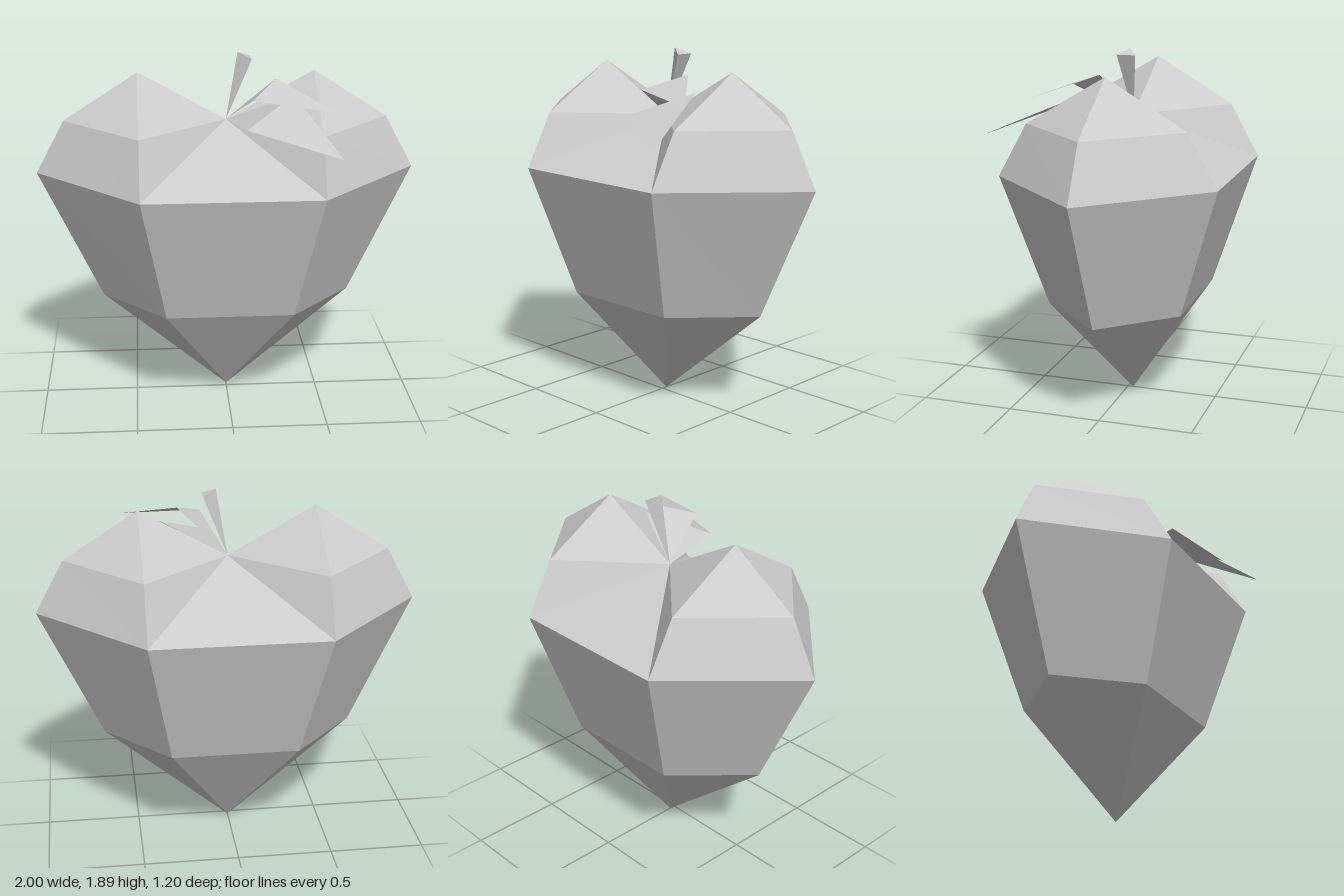
import * as THREE from 'three';

const grey = new THREE.MeshStandardMaterial({ color: 0xcccccc, side: THREE.DoubleSide });
grey.name = 'light grey';

// Faceted mesh from convex faces given as lists of corners
function facets(name, faces) {
  const out = [];
  for (const f of faces) {
    for (let i = 1; i < f.length - 1; i++) out.push(...f[0], ...f[i], ...f[i + 1]);
  }
  const geo = new THREE.BufferGeometry();
  geo.setAttribute('position', new THREE.Float32BufferAttribute(out, 3));
  geo.computeVertexNormals();
  const mesh = new THREE.Mesh(geo, grey);
  mesh.name = name;
  return mesh;
}

// Repeat a quarter of faces over all four x/z quadrants
function fourfold(faces) {
  const all = [];
  for (const sx of [1, -1]) for (const sz of [1, -1]) {
    for (const f of faces) {
      const g = f.map(([x, y, z]) => [x * sx, y, z * sz]);
      all.push(sx * sz < 0 ? g.reverse() : g);
    }
  }
  return all;
}

export function createModel() {
  const group = new THREE.Group();
  group.name = 'heartFruit';
  const axisZ = -0.03;

  // Corners of one quarter of the fruit
  const dip = [0, 1.535, 0], peak = [0.46, 1.79, 0], tip = [0, 0, 0];
  const lobeSide = [0.85, 1.54, 0], lobeFront = [0.46, 1.54, 0.42];
  const rimSide = [1, 1.26, 0], rimCorner = [0.46, 1.26, 0.575], rimMid = [0, 1.26, 0.575];
  const lowSide = [0.67, 0.56, 0], lowCorner = [0.335, 0.56, 0.36], lowMid = [0, 0.56, 0.36];

  // Two rounded lobes with a dip between them
  const lobes = facets('lobes', fourfold([
    [dip, rimMid, rimCorner],
    [dip, rimCorner, lobeFront],
    [dip, lobeFront, peak],
    [peak, lobeFront, lobeSide],
    [lobeFront, rimCorner, rimSide, lobeSide],
  ]));

  // Tapering body down to the point
  const body = facets('body', fourfold([
    [rimMid, lowMid, lowCorner, rimCorner],
    [rimCorner, lowCorner, lowSide, rimSide],
    [lowMid, tip, lowCorner],
    [lowCorner, tip, lowSide],
  ]));
  lobes.position.z = body.position.z = axisZ;
  group.add(lobes, body);

  // Three-sided stem widening upwards
  const root = [0, 1.535, axisZ];
  const a = [0.06, 1.89, axisZ], b = [0.13, 1.86, 0.02], c = [0.13, 1.86, -0.08];
  group.add(facets('stem', [[a, b, c], [root, b, a], [root, c, b], [root, a, c]]));

  // Folded leaves: rising inner half, drooping outer half
  const leaf = (name, l, r, end) => facets(name, [[root, l, r], [l, end, r]]);
  group.add(
    leaf('upperLeaf', [0.115, 1.7, 0.27], [0.25, 1.77, 0.07], [0.53, 1.66, 0.39]),
    leaf('lowerLeaf', [0.08, 1.57, 0.35], [0.34, 1.69, 0.11], [0.53, 1.48, 0.6]),
  );
  return group;
}
